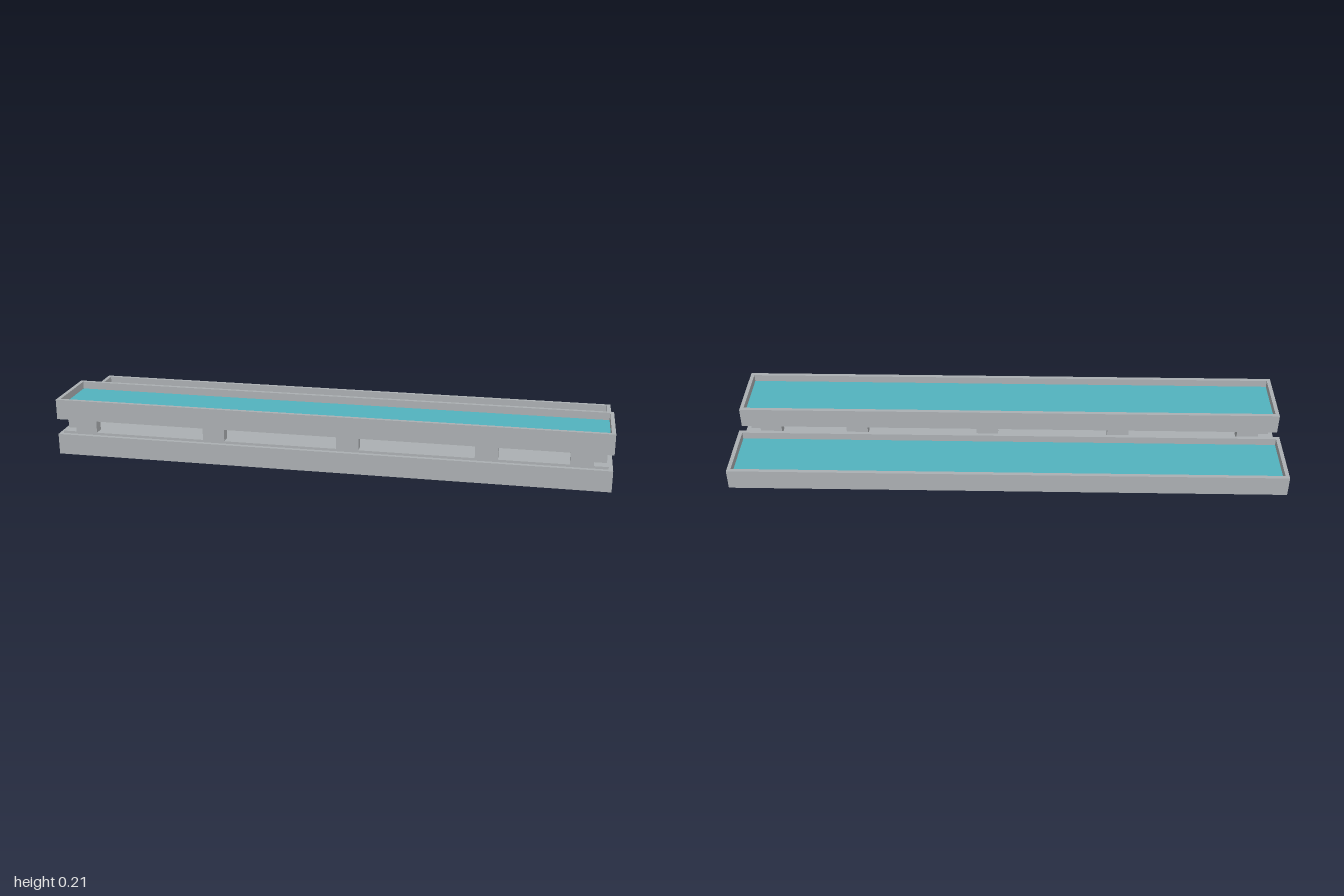
import * as THREE from 'three';

const grey = new THREE.MeshStandardMaterial({ color: 0xabafb2 });
grey.name = 'concrete grey';
const teal = new THREE.MeshStandardMaterial({ color: 0x52b2be });
teal.name = 'water teal';

const LENGTH = 2, WIDTH = 0.24, RIM = 0.014;

function box(name, material, x0, x1, y0, y1, z0, z1) {
  const mesh = new THREE.Mesh(new THREE.BoxGeometry(x1 - x0, y1 - y0, z1 - z0), material);
  mesh.position.set((x0 + x1) / 2, (y0 + y1) / 2, (z0 + z1) / 2);
  mesh.name = name;
  return mesh;
}

// Rectangular path centred on the origin
function rectangle(path, w, d) {
  path.moveTo(-w / 2, -d / 2);
  path.lineTo(w / 2, -d / 2);
  path.lineTo(w / 2, d / 2);
  path.lineTo(-w / 2, d / 2);
  path.closePath();
  return path;
}

// Long open tray: solid base, raised wall and a recessed water surface
function trough(name, y0, y1, z) {
  const group = new THREE.Group();
  group.name = name;
  const floor = y1 - 0.03;
  group.add(box('troughBase', grey, -1, 1, y0, floor, -WIDTH / 2, WIDTH / 2));

  const shape = rectangle(new THREE.Shape(), LENGTH, WIDTH);
  shape.holes.push(rectangle(new THREE.Path(), LENGTH - 2 * RIM, WIDTH - 2 * RIM));
  const wall = new THREE.Mesh(
    new THREE.ExtrudeGeometry(shape, { depth: y1 - floor, bevelEnabled: false }), grey);
  wall.rotation.x = -Math.PI / 2;
  wall.position.y = floor;
  wall.name = 'troughWall';
  group.add(wall);

  const w = 1 - RIM, d = WIDTH / 2 - RIM;
  group.add(box('water', teal, -w, w, floor, floor + 0.003, -d, d));
  group.position.z = z;
  return group;
}

export function createModel() {
  const model = new THREE.Group();
  model.name = 'stackedTroughs';

  // Upper front trough and lower back trough
  model.add(trough('upperTrough', 0.135, 0.21, 0.14));
  model.add(trough('backTrough', 0.069, 0.145, -0.14));

  // Lower front slab with a raised deck
  const base = new THREE.Group();
  base.name = 'lowerSlab';
  base.add(box('slab', grey, -1, 1, 0, 0.077, -WIDTH / 2, WIDTH / 2));
  base.add(box('deck', grey, -0.985, 0.985, 0.077, 0.086, -0.105, 0.105));
  base.position.z = 0.14;
  model.add(base);

  // Posts between slab and upper trough, mirrored front to back
  const posts = new THREE.Group();
  posts.name = 'posts';
  for (const side of [-1, 1]) {
    const addPost = (name, x, inner, outer) => {
      const a = side * inner, b = side * outer;
      posts.add(box(name, grey, x - 0.04, x + 0.04, 0.086, 0.135, Math.min(a, b), Math.max(a, b)));
    };
    for (const x of [-0.895, -0.41, 0.08, 0.57, 0.895]) addPost('outerPost', x, 0.067, 0.105);
    for (const x of [-0.94, 0.94]) addPost('endPost', x, 0.037, 0.067);
  }
  posts.position.z = 0.14;
  model.add(posts);

  return model;
}
